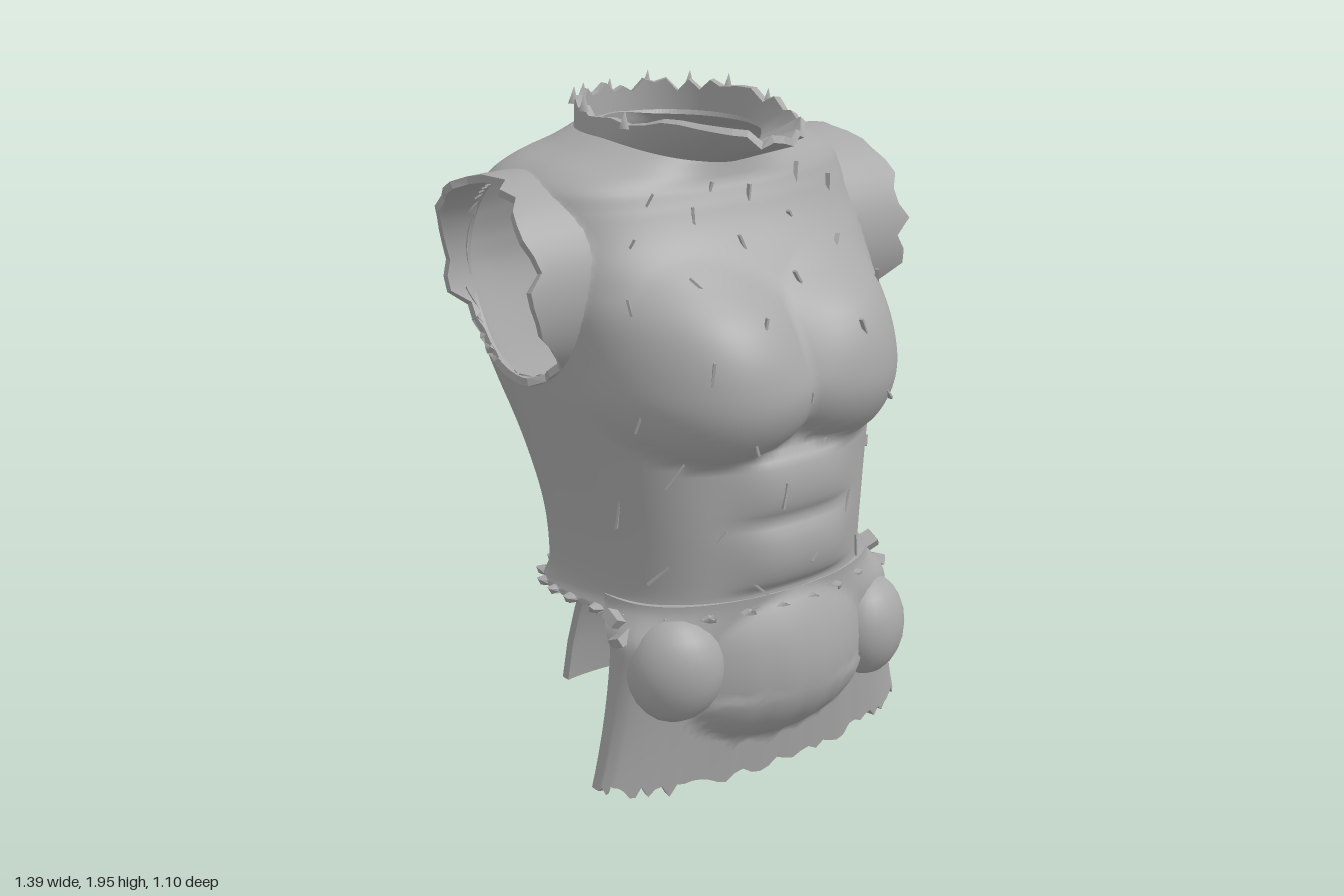
import * as THREE from 'three';
import { mergeVertices } from 'three/addons/utils/BufferGeometryUtils.js';

export function createModel() {
  const group = new THREE.Group();
  const grey = new THREE.MeshStandardMaterial({ color: 0xa8a8a8, side: THREE.DoubleSide });
  grey.name = 'plainGrey';

  let seed = 7;
  const rand = () => (seed = (seed * 16807) % 2147483647) / 2147483647;
  const ragged = (n, amount) => Array.from({ length: n }, () => (rand() - 0.5) * amount);
  const clamp = THREE.MathUtils.clamp, smooth = THREE.MathUtils.smoothstep, lerp = THREE.MathUtils.lerp;

  function add(name, geometry) {
    const mesh = new THREE.Mesh(geometry, grey);
    mesh.name = name;
    group.add(mesh);
    return mesh;
  }

  // Surface from a rule f(u, v, i, j) -> [x, y, z]; quads whose four corners are cut are left out
  function sheet(nu, nv, f, cut) {
    const pos = [], gone = [], index = [];
    for (let j = 0; j <= nv; j++) for (let i = 0; i <= nu; i++) {
      const p = f(i / nu, j / nv, i, j);
      gone.push(cut ? cut(p) : false);
      pos.push(...p);
    }
    for (let j = 0; j < nv; j++) for (let i = 0; i < nu; i++) {
      const a = j * (nu + 1) + i, b = a + 1, c = a + nu + 1, d = c + 1;
      if (gone[a] && gone[b] && gone[c] && gone[d]) continue;
      index.push(a, c, b, b, c, d);
    }
    const g = new THREE.BufferGeometry();
    g.setAttribute('position', new THREE.Float32BufferAttribute(pos, 3));
    g.setIndex(index);
    const welded = mergeVertices(g, 1e-4);
    welded.computeVertexNormals();
    return welded;
  }

  // Plate with thickness: outer sheet, inner copy moved along the normals, and a flat edge between them
  function plate(name, outer, depth) {
    const inner = outer.clone(), p = inner.attributes.position, n = outer.attributes.normal;
    for (let i = 0; i < p.count; i++)
      p.setXYZ(i, p.getX(i) + depth * n.getX(i), p.getY(i) + depth * n.getY(i), p.getZ(i) + depth * n.getZ(i));
    const edges = new Map(), index = outer.index.array, wall = [];
    for (let t = 0; t < index.length; t += 3) for (let k = 0; k < 3; k++) {
      const a = index[t + k], b = index[t + (k + 1) % 3], key = Math.min(a, b) + '_' + Math.max(a, b);
      if (a !== b) edges.set(key, edges.has(key) ? null : [a, b]);
    }
    const push = (g, i) => wall.push(g.attributes.position.getX(i), g.attributes.position.getY(i), g.attributes.position.getZ(i));
    for (const e of edges.values()) {
      if (!e) continue;
      const [a, b] = e;
      [[outer, b], [outer, a], [inner, a], [outer, b], [inner, a], [inner, b]].forEach(([g, i]) => push(g, i));
    }
    const rim = new THREE.BufferGeometry();
    rim.setAttribute('position', new THREE.Float32BufferAttribute(wall, 3));
    rim.computeVertexNormals();
    add(name, outer);
    add(name + 'Inside', inner);
    add(name + 'Edge', rim);
  }

  // Torso sections: y, half width, front z, back z, centre z, squareness of the back
  const rows = [
    [0.57, 0.475, 0.455, -0.31, 0, 2.5], [0.63, 0.455, 0.455, -0.30, 0, 2.5], [0.8, 0.465, 0.46, -0.315, 0, 2.6],
    [1.0, 0.495, 0.455, -0.385, 0, 3], [1.2, 0.53, 0.46, -0.455, 0, 4], [1.4, 0.553, 0.42, -0.505, -0.02, 5.2],
    [1.52, 0.56, 0.34, -0.5, -0.05, 5.5], [1.62, 0.56, 0.26, -0.47, -0.08, 5], [1.7, 0.555, 0.215, -0.435, -0.1, 4],
    [1.76, 0.53, 0.195, -0.41, -0.1, 3.3], [1.8, 0.465, 0.185, -0.395, -0.1, 2.8], [1.83, 0.36, 0.18, -0.385, -0.1, 2.4],
    [1.86, 0.275, 0.175, -0.38, -0.1, 2.1]];
  function section(v) {
    const s = clamp(v, 0, 1) * (rows.length - 1), k = Math.min(Math.floor(s), rows.length - 2), t = s - k;
    const at = i => rows[clamp(i, 0, rows.length - 1)];
    return rows[0].map((_, c) => {
      const [p, q, r, w] = [at(k - 1)[c], at(k)[c], at(k + 1)[c], at(k + 2)[c]];
      return q + 0.5 * t * (r - p + t * (2 * p - 5 * q + 4 * r - w + t * (3 * (q - r) + w - p)));
    });
  }
  // Chest and stomach muscles raised from the front
  function muscles(x, y) {
    const side = Math.abs(x) - 0.25;
    const dy = (y - 1.22) / (y < 1.22 ? 0.2 : 0.36), dx = side / (side < 0 ? 0.33 : 0.27);
    const chest = 0.11 * Math.pow(Math.max(0, 1 - dx * dx - dy * dy), y < 1.22 ? 0.65 : lerp(0.65, 1.4, Math.min(1, dy * 1.5)));
    const stomach = y > 0.63 && y < 1.03
      ? 0.04 * Math.sqrt(Math.abs(Math.sin(Math.PI * (y - 0.63) / 0.2))) * Math.exp(-((x / 0.2) ** 4)) : 0;
    return chest + stomach;
  }
  const frontPower = 2.5;
  function torso(u, v) {
    const [y, w, zf, zb, zc, back] = section(v), a = u * Math.PI * 2;
    const c = Math.cos(a), s = Math.sin(a), n = s > 0 ? frontPower : back;
    const r = (Math.abs(c) ** n + Math.abs(s) ** n) ** (-1 / n);
    const x = w * c * r;
    let z = zc + (s > 0 ? zf - zc : zc - zb) * s * r;
    if (s > 0) z += muscles(x, y) * smooth(s, 0, 0.35);
    const torn = v === 0 ? 0.012 * Math.sin(u * Math.PI * 54) : 0;
    return [x, y + torn - 0.06 * Math.max(0, s) ** 2 * smooth(y, 1.68, 1.85), z];
  }

  // Torso with round arm openings; cut corners are drawn out to the opening's edge
  const arm = { y: 1.485, z: -0.135, ry: 0.3, rz: 0.305 };
  const armDistance = (y, z) => Math.hypot((y - arm.y) / arm.ry, (z - arm.z) / arm.rz);
  plate('torso', sheet(160, 110, torso, p => {
    const d = armDistance(p[1], p[2]);
    if (Math.abs(p[0]) < 0.36 || d >= 1) return false;
    if (d > 0.05) {
      p[1] = arm.y + (p[1] - arm.y) / d;
      p[2] = arm.z + (p[2] - arm.z) / d;
    }
    return true;
  }), -0.025);

  // Half width of the torso at a given height and depth
  function widthAt(y, z) {
    let lo = 0, hi = 1;
    for (let i = 0; i < 24; i++) {
      const m = (lo + hi) / 2;
      if (section(m)[0] < y) lo = m; else hi = m;
    }
    const [, w, zf, zb, zc, back] = section(lo);
    const n = z > zc ? frontPower : back;
    const q = Math.min(1, Math.abs(z - zc) / (z > zc ? zf - zc : zc - zb));
    return w * (1 - q ** n) ** (1 / n);
  }

  // Short sleeves with torn edges, shallow at the back and open low at the armpit
  for (const side of [1, -1]) {
    const n = 40, tear = ragged(n, 0.055);
    const sleeve = (u, v, i) => {
      const a = u * Math.PI * 2, s = Math.sin(a), c = Math.cos(a);
      const y0 = arm.y + 0.303 * s, z0 = arm.z + 0.308 * c;
      const x0 = Math.max(0.42, widthAt(y0, z0) - 0.015);
      const x1 = 0.54 + 0.135 * smooth(s, -0.75, -0.2) - 0.06 * smooth(s, 0.75, 1)
        - 0.11 * Math.max(0, -c) ** 1.5 * (1 - 0.5 * smooth(s, 0, 0.7)) + tear[i % n];
      return [side * lerp(x0, Math.max(x1, x0 + 0.015), v),
        lerp(y0, arm.y + 0.3 * s, v * v), lerp(z0, arm.z + 0.308 * c, v * v)];
    };
    plate(side > 0 ? 'leftSleeve' : 'rightSleeve', sheet(n, 6, sleeve), -0.022 * side);
  }

  // Collar, flaring forward into a lip
  const cn = 48, collarTear = ragged(cn, 0.04);
  const collar = (u, v, i) => {
    const a = u * Math.PI * 2, c = Math.cos(a), s = Math.sin(a), f = Math.max(0, s);
    return [lerp(0.275, 0.27, v) * c,
      lerp(1.855 - 0.06 * f * f, 1.93 - 0.05 * f * f + collarTear[i % cn], v),
      -0.1 + s * (s > 0 ? lerp(0.272, 0.49, v) : 0.285)];
  };
  plate('collar', sheet(cn, 5, collar), -0.022);

  // Front skirt with a rounded belly and a torn hem
  const sn = 56, hem = ragged(sn + 1, 0.045);
  const skirt = (u, v, i) => {
    const t = (u - 0.5) * Math.PI, k = Math.sin(t);
    const y = lerp(0.61, 0.035 + 0.055 * Math.abs(k) ** 3 + hem[i] * 0.9, v);
    const w = 0.45 + 0.05 * smooth(v, 0, 0.2) + 0.075 * v * v, edge = lerp(0.15, 0.245, smooth(v, 0, 0.25));
    const zf = lerp(0.46, 0.385, v);
    const x = w * k, d = (x / 0.33) ** 2 + ((y - 0.32) / (y < 0.32 ? 0.17 : 0.28)) ** 2;
    return [x, y, edge + (zf - edge) * Math.cos(t) ** 0.75 + 0.105 * Math.max(0, 1 - d) ** (y < 0.32 ? 0.75 : 0.95)];
  };
  plate('frontSkirt', sheet(sn, 36, skirt), -0.025);

  // Hip pads
  for (const [x, y, turn] of [[-0.36, 0.42, -0.5], [0.38, 0.365, 0.5]]) {
    const pad = add('hipPad', new THREE.SphereGeometry(1, 14, 12, 0, Math.PI));
    pad.scale.set(0.145, 0.155, 0.115);
    pad.position.set(x, y, 0.35);
    pad.rotation.y = turn;
  }

  // Torn flaps at the hips
  for (const side of [1, -1]) for (const [y, z, tilt] of [[0.57, 0.24, 0.5], [0.52, 0.27, -0.4]]) {
    const flap = add('hipFlap', new THREE.BoxGeometry(0.05, 0.03, 0.05));
    flap.position.set(side * 0.485, y, z);
    flap.rotation.set(tilt, 0, side * tilt);
  }

  // Back tail: wide under the waist, then a narrow strip curving outward
  const tailRows = [[0.6, 0.36, -0.295], [0.53, 0.33, -0.32], [0.46, 0.28, -0.36], [0.42, 0.14, -0.395],
    [0.28, 0.095, -0.475], [0.15, 0.1, -0.52], [0.02, 0.11, -0.545]];
  const tailTear = ragged(14, 0.03);
  plate('backTail', sheet(10, 6, (u, v, i, j) => {
    const [y, w, z] = tailRows[j], k = u * 2 - 1;
    const x = k * w + tailTear[j + (k > 0 ? 7 : 0)] * Math.abs(k) + 0.01;
    return [x, y, z + 0.75 * x * x];
  }), 0.025);

  // Small slivers spread evenly over the front
  for (let i = 0; i < 44; i++) {
    const p = new THREE.Vector3(...torso(0.05 + 0.4 * ((i * 0.618) % 1), 0.06 + 0.7 * (i + rand()) / 44));
    if (Math.abs(p.x) > 0.3 && armDistance(p.y, p.z) < 1.08) continue;
    const sliver = add('sliver', new THREE.BoxGeometry(0.007, 0.03 + 0.06 * rand(), 0.012));
    sliver.position.copy(p);
    sliver.lookAt(p.x * 2, p.y, p.z * 2 + 0.1);
    sliver.rotateZ((rand() - 0.5) * 1.8);
  }

  // Torn points around the neck
  for (let i = 0; i < 9; i++) {
    const u = 0.46 + 0.58 * i / 8, p = collar(u, 1, Math.round(u * cn) % cn);
    const spike = add('tornPoint', new THREE.ConeGeometry(0.018, 0.05, 3));
    spike.position.set(p[0], Math.min(p[1] + 0.015, 1.945), p[2]);
  }
  return group;
}
